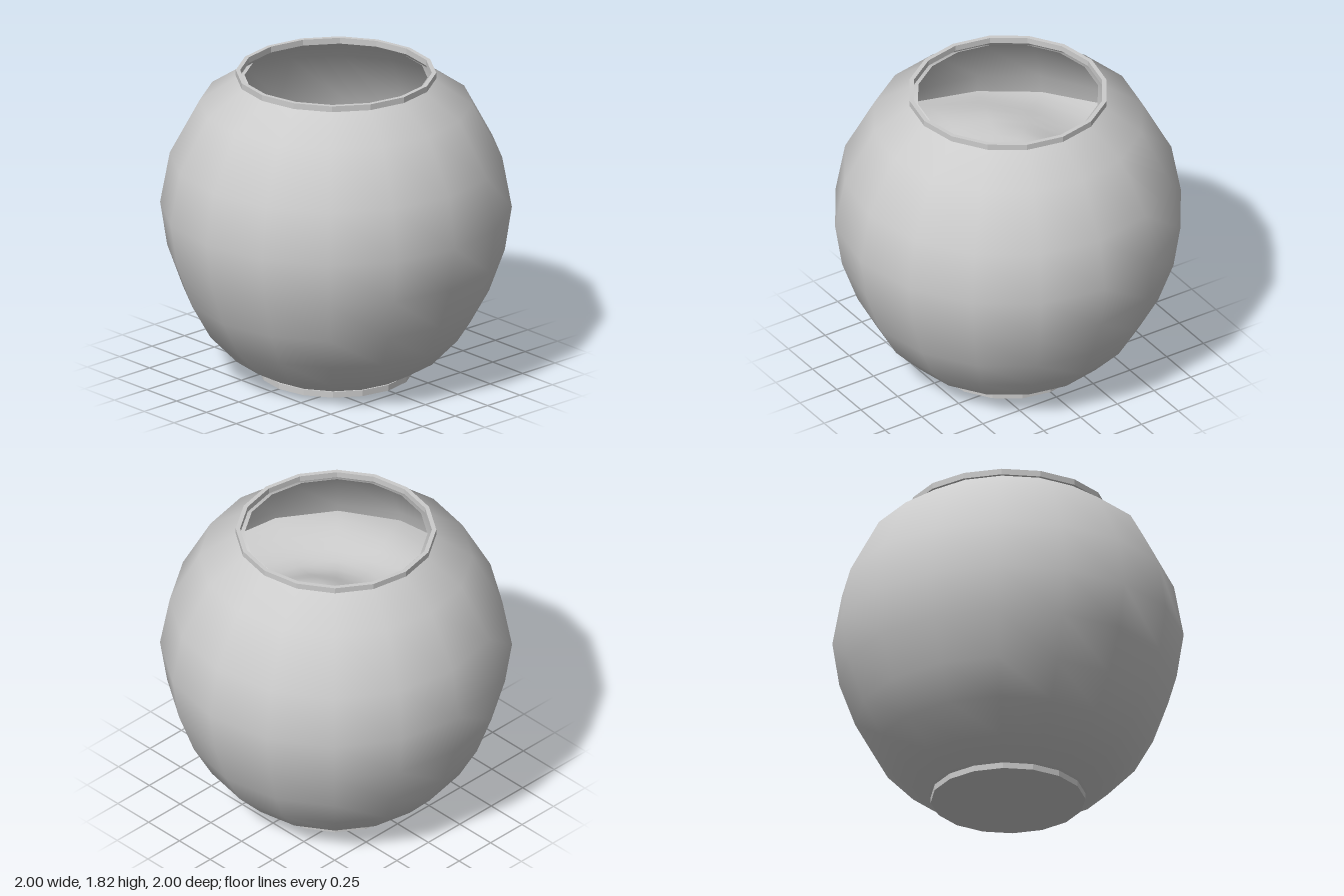
import * as THREE from 'three';
import { mergeVertices } from 'three/addons/utils/BufferGeometryUtils.js';

const SIDES = 16;
const v2 = (list) => list.map(([r, y]) => new THREE.Vector2(r, y));

// Revolved 16-sided part; profiles run bottom to top on the outside
function turned(name, profile, flatShading = false) {
  const mesh = new THREE.Mesh(
    new THREE.LatheGeometry(v2(profile), SIDES),
    new THREE.MeshStandardMaterial({ color: 0xcccccc, flatShading, side: THREE.DoubleSide })
  );
  mesh.name = name;
  return mesh;
}

export function createModel() {
  const group = new THREE.Group();
  group.name = 'fishBowl';

  // Globe wall, outside
  const wall = [
    [0.43, 0.035], [0.6, 0.13], [0.76, 0.3], [0.87, 0.5], [0.96, 0.75],
    [1, 1.01], [0.945, 1.31], [0.775, 1.63], [0.545, 1.785],
  ];
  group.add(turned('outerWall', wall));

  // Globe wall, inside: the same profile inset, running back down to the floor
  const inner = wall.map(([r, y]) => [r - 0.025, y + (y < 0.6 ? 0.025 : 0)]).reverse();
  group.add(turned('innerWall', [...inner, [0, 0.06]]));

  // Flat-faceted lip and foot
  group.add(turned('rim', [[0.545, 1.78], [0.57, 1.78], [0.57, 1.815], [0.545, 1.815], [0.545, 1.78]], true));
  group.add(turned('foot', [[0, 0], [0.44, 0], [0.44, 0.035], [0, 0.035]], true));

  // Rippled water: a low central swell, a trough, then a rise to the wall
  const rings = Array.from({ length: 13 }, (_, i) => [0.935 * (1 - i / 12), 1.22]);
  const water = turned('waterSurface', rings);
  let geo = water.geometry;
  const pos = geo.attributes.position;
  for (let i = 0; i < pos.count; i++) {
    const x = pos.getX(i), z = pos.getZ(i);
    const r = Math.hypot(x, z), a = Math.atan2(z, x);
    const swell = 0.13 * Math.max(0, 1 - r / 0.5);
    const ripple = 0.035 * Math.sin(2 * a + 7 * r) * Math.min(1, r * 3);
    pos.setY(i, 1.2 + swell + ripple + 0.03 * r);
  }
  geo.deleteAttribute('uv');
  geo.deleteAttribute('normal');
  geo = mergeVertices(geo, 1e-4);
  geo.computeVertexNormals();
  water.geometry = geo;
  group.add(water);

  return group;
}
